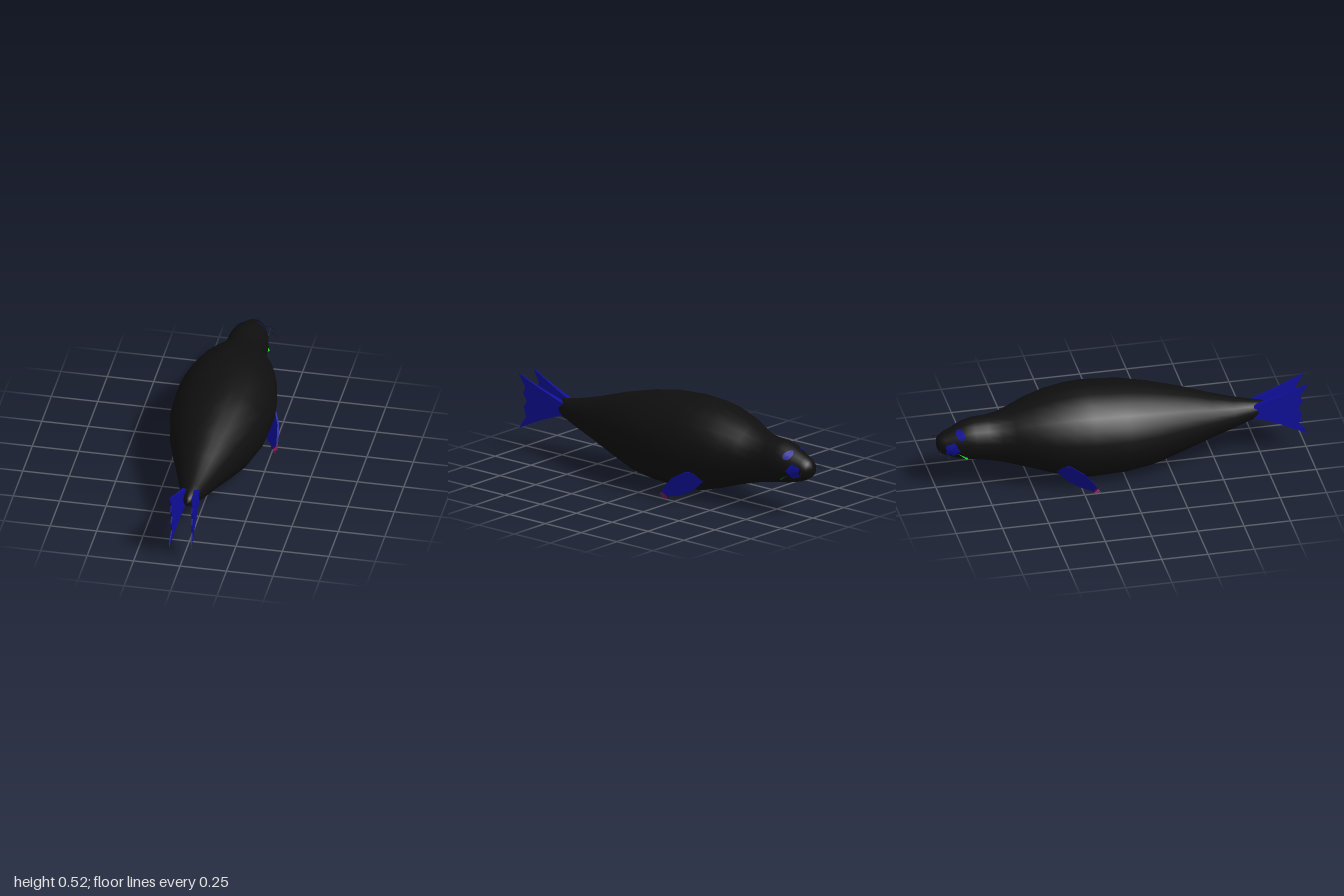
import * as THREE from 'three';

// Body stations: z, top y, bottom y, half width
const BODY = [
  [-0.995, 0.30, 0.25, 0.022], [-0.985, 0.315, 0.225, 0.045], [-0.955, 0.335, 0.208, 0.063],
  [-0.91, 0.355, 0.19, 0.074], [-0.86, 0.38, 0.178, 0.097], [-0.80, 0.397, 0.168, 0.109],
  [-0.73, 0.40, 0.155, 0.113], [-0.66, 0.41, 0.14, 0.128], [-0.59, 0.435, 0.12, 0.16],
  [-0.50, 0.469, 0.094, 0.205], [-0.39, 0.50, 0.055, 0.24], [-0.29, 0.517, 0.026, 0.259],
  [-0.19, 0.523, 0.013, 0.269], [0, 0.51, 0.02, 0.262], [0.15, 0.482, 0.04, 0.231],
  [0.33, 0.435, 0.095, 0.175], [0.48, 0.385, 0.145, 0.125], [0.60, 0.35, 0.182, 0.088],
  [0.69, 0.33, 0.212, 0.06], [0.75, 0.318, 0.232, 0.043], [0.79, 0.30, 0.25, 0.022],
];
const SIDES = 22;

function makeBody() {
  const pos = [], idx = [];
  for (const [z, top, bottom, w] of BODY) {
    for (let i = 0; i < SIDES; i++) {
      const a = (i / SIDES) * Math.PI * 2;
      pos.push(Math.sin(a) * w, (top + bottom) / 2 + Math.cos(a) * (top - bottom) / 2, z);
    }
  }
  const nose = pos.length / 3, tail = nose + 1;
  pos.push(0, 0.275, -1, 0, 0.275, 0.81);
  const last = (BODY.length - 1) * SIDES;
  for (let i = 0; i < SIDES; i++) {
    const j = (i + 1) % SIDES;
    for (let r = 0; r < last; r += SIDES) {
      idx.push(r + i, r + SIDES + i, r + j, r + j, r + SIDES + i, r + SIDES + j);
    }
    idx.push(nose, i, j, tail, last + j, last + i);
  }
  const g = new THREE.BufferGeometry();
  g.setAttribute('position', new THREE.Float32BufferAttribute(pos, 3));
  g.setIndex(idx);
  g.computeVertexNormals();
  return g;
}

// Half width of the body at a given z and y
function surfaceX(z, y) {
  let k = 0;
  while (k < BODY.length - 2 && BODY[k + 1][0] < z) k++;
  const a = BODY[k], b = BODY[k + 1], t = (z - a[0]) / (b[0] - a[0]);
  const [top, bottom, w] = [1, 2, 3].map((n) => a[n] + (b[n] - a[n]) * t);
  const v = (y - (top + bottom) / 2) / ((top - bottom) / 2);
  return w * Math.sqrt(Math.max(0, 1 - v * v));
}

// Move every vertex by a rule
function warp(g, rule) {
  const p = g.attributes.position;
  for (let i = 0; i < p.count; i++) p.setXYZ(i, ...rule(p.getX(i), p.getY(i), p.getZ(i)));
  g.computeVertexNormals();
  return g;
}

// Mirror across x = 0 and restore the corner order
function mirrored(geometry) {
  const g = geometry.index ? geometry.toNonIndexed() : geometry.clone();
  g.scale(-1, 1, 1);
  for (const name of ['position', 'normal']) {
    const a = g.attributes[name];
    for (let i = 0; i < a.count; i += 3) {
      const b = [a.getX(i + 1), a.getY(i + 1), a.getZ(i + 1)];
      a.setXYZ(i + 1, a.getX(i + 2), a.getY(i + 2), a.getZ(i + 2));
      a.setXYZ(i + 2, ...b);
    }
  }
  return g;
}

// Plate outlined in (z, y); side(z, y) gives its inner and outer x
function plate(outline, side) {
  const shape = new THREE.Shape(outline.map(([z, y]) => new THREE.Vector2(-z, y)));
  const g = new THREE.ExtrudeGeometry(shape, { depth: 1, bevelEnabled: false });
  return warp(g, (mz, y, d) => [side(-mz, y)[d > 0.5 ? 1 : 0], y, -mz]);
}

// Thin patch lying on the head
function patch(z0, y0, rz, ry, notch = 0) {
  const ring = new THREE.RingGeometry(0.001, 1, 14, 3);
  return warp(ring, (u, v) => {
    const k = 1 - notch * (0.5 + 0.5 * Math.cos(5 * Math.atan2(v, u)));
    const z = z0 - u * rz * k, y = y0 + v * ry * k;
    return [surfaceX(z, y) + 0.004, y, z];
  });
}

export function createModel() {
  const model = new THREE.Group();
  const material = (name, color) => {
    const m = new THREE.MeshStandardMaterial({ color, side: THREE.DoubleSide });
    m.name = name;
    return m;
  };
  const black = material('black fur', 0x0f0f0f);
  const blue = material('blue skin', 0x0f0f99);
  const red = material('claw red', 0x990f4d);
  const green = material('mouth green', 0x0fcc0f);

  const add = (name, geometry, mat) => {
    const mesh = new THREE.Mesh(geometry, mat);
    mesh.name = name;
    model.add(mesh);
  };
  const pair = (name, geometry, mat) => {
    add(name + 'Left', geometry, mat);
    add(name + 'Right', mirrored(geometry), mat);
  };

  add('body', makeBody(), black);

  // Hind flippers: notched fans tapering to a thin rear edge
  pair('hindFlipper', plate([
    [0.71, 0.31], [0.74, 0.32], [0.85, 0.36], [0.998, 0.42], [0.955, 0.35], [0.97, 0.32],
    [0.945, 0.275], [0.965, 0.245], [0.95, 0.19], [0.998, 0.12], [0.85, 0.19], [0.74, 0.232], [0.71, 0.24],
  ], (z) => {
    const t = (z - 0.71) / 0.29;
    return [0.018 + 0.04 * t, 0.046 + 0.015 * t];
  }), blue);

  // Front flippers: slanted paddles rooted in the flanks
  const flipperX = (z, y) => 0.383 + 0.69 * z + 0.46 * y;
  pair('frontFlipper', plate([
    [-0.185, 0.055], [-0.215, 0.095], [-0.256, 0.145], [-0.32, 0.182], [-0.375, 0.172],
    [-0.385, 0.125], [-0.325, 0.065], [-0.27, 0.038], [-0.23, 0.033], [-0.2, 0.022],
  ], (z, y) => [flipperX(z, y) - 0.006, flipperX(z, y) + 0.004]), blue);

  // Claws along each flipper tip
  const clawDir = new THREE.Vector3(0.012, -0.022, 0.02).normalize();
  for (let i = 0; i < 5; i++) {
    const t = i / 4, z = -0.188 - 0.012 * t, y = 0.052 - 0.027 * t;
    const claw = new THREE.ConeGeometry(0.005, 0.032, 6);
    claw.translate(0, 0.01, 0);
    claw.applyQuaternion(new THREE.Quaternion().setFromUnitVectors(new THREE.Vector3(0, 1, 0), clawDir));
    claw.translate(flipperX(z, y), y, z);
    pair('claw' + (i + 1), claw, red);
  }

  // Eyes and muzzle patches
  pair('eye', patch(-0.88, 0.342, 0.021, 0.022), blue);
  pair('muzzlePatch', patch(-0.925, 0.262, 0.042, 0.046, 0.3), blue);

  // Mouth corner flaps
  const flap = new THREE.BufferGeometry();
  flap.setAttribute('position', new THREE.Float32BufferAttribute(
    [0.105, 0.212, -0.852, 0.07, 0.245, -0.905, 0.035, 0.198, -0.83], 3));
  flap.computeVertexNormals();
  pair('mouthFlap', flap, green);

  // Whiskers
  for (const [z, tipX, tipZ, y] of [[-0.975, 0.1, -0.998, 0.28], [-0.955, 0.125, -0.953, 0.265]]) {
    const curve = new THREE.QuadraticBezierCurve3(
      new THREE.Vector3(0.045, y, z),
      new THREE.Vector3(0.085, y + 0.005, (z + tipZ) / 2 - 0.006),
      new THREE.Vector3(tipX, y - 0.025, tipZ));
    pair('whisker', new THREE.TubeGeometry(curve, 8, 0.0012, 4), black);
  }
  return model;
}
